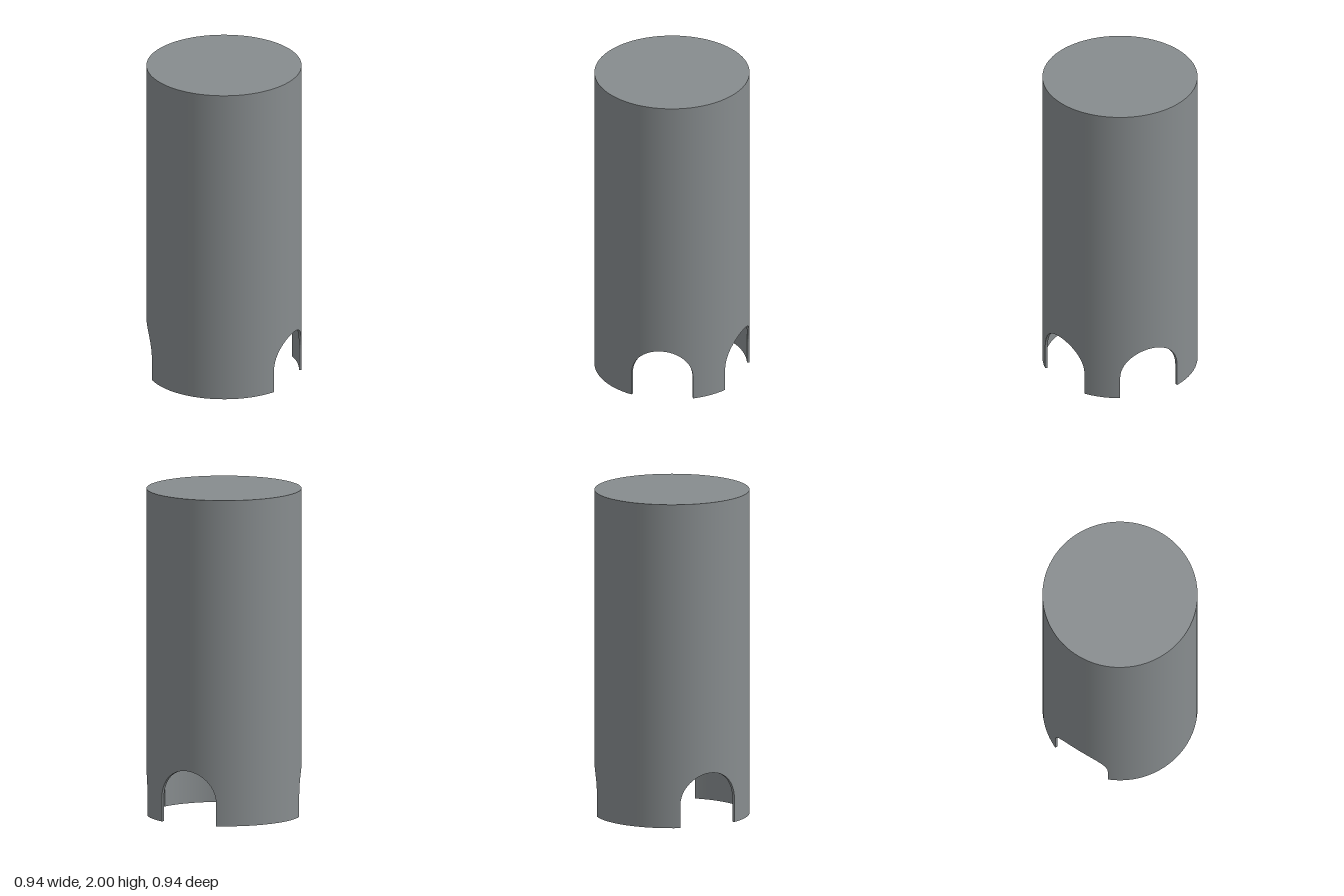
import * as THREE from 'three';

const R = 0.47, WALL = 0.016, HEIGHT = 2;
const ARCH_CENTRES = [-46.8, 28, 184]; // degrees from +x towards +z
const ARCH_HALF = 0.189, ARCH_SPRING = 0.141; // half width, height where the curve starts
const rad = THREE.MathUtils.degToRad;

// Columns round the wall: angle and height of the lower edge there.
function wallColumns() {
  const columns = [];
  const halfAngle = Math.asin(ARCH_HALF / R);
  ARCH_CENTRES.forEach((deg, k) => {
    const centre = rad(deg);
    const next = rad(k + 1 < ARCH_CENTRES.length ? ARCH_CENTRES[k + 1] : ARCH_CENTRES[0] + 360);
    // Round-headed opening
    for (let i = 0; i <= 24; i++) {
      const phi = (Math.PI * i) / 24;
      columns.push({
        angle: centre + Math.asin((-ARCH_HALF * Math.cos(phi)) / R),
        base: ARCH_SPRING + ARCH_HALF * Math.sin(phi),
      });
    }
    // Solid stretch up to the next opening; the doubled column makes the jamb
    const from = centre + halfAngle, to = next - halfAngle;
    const steps = Math.ceil((to - from) / rad(5));
    for (let i = 0; i <= steps; i++) columns.push({ angle: from + ((to - from) * i) / steps, base: 0 });
  });
  columns.push({ angle: columns[0].angle + 2 * Math.PI, base: columns[0].base });
  return columns;
}

// Band of quads between two rows; normalSign gives smooth radial normals, 0 gives flat ones.
function band(columns, lower, upper, normalSign = 0) {
  const positions = [], normals = [], index = [];
  columns.forEach((c, i) => {
    for (const row of [lower, upper]) {
      const [r, y] = row(c);
      positions.push(r * Math.cos(c.angle), y, r * Math.sin(c.angle));
      normals.push(normalSign * Math.cos(c.angle), 0, normalSign * Math.sin(c.angle));
    }
    if (i > 0) {
      const a = 2 * (i - 1), b = 2 * i;
      index.push(b, a, a + 1, b, a + 1, b + 1);
    }
  });
  const geometry = new THREE.BufferGeometry();
  geometry.setAttribute('position', new THREE.Float32BufferAttribute(positions, 3));
  geometry.setIndex(index);
  if (normalSign !== 0) {
    geometry.setAttribute('normal', new THREE.Float32BufferAttribute(normals, 3));
    return geometry;
  }
  const flat = geometry.toNonIndexed();
  flat.computeVertexNormals();
  return flat;
}

export function createModel() {
  const model = new THREE.Group();
  model.name = 'archedCylinder';
  const grey = new THREE.MeshStandardMaterial({ color: 0x878c8e });
  grey.name = 'slate grey';

  const columns = wallColumns();
  const inner = R - WALL, ceiling = HEIGHT - WALL;
  const outerBase = (c) => [R, c.base], outerTop = () => [R, HEIGHT];
  const innerBase = (c) => [inner, c.base], innerTop = () => [inner, ceiling];

  const add = (name, geometry) => {
    const mesh = new THREE.Mesh(geometry, grey);
    mesh.name = name;
    model.add(mesh);
  };

  add('outerWall', band(columns, outerBase, outerTop, 1));
  add('innerWall', band(columns, innerTop, innerBase, -1));
  add('bottomRimAndArchEdges', band(columns, innerBase, outerBase));
  add('lidTop', band(columns, outerTop, () => [0, HEIGHT]));
  add('lidUnderside', band(columns, () => [0, ceiling], innerTop));
  return model;
}
